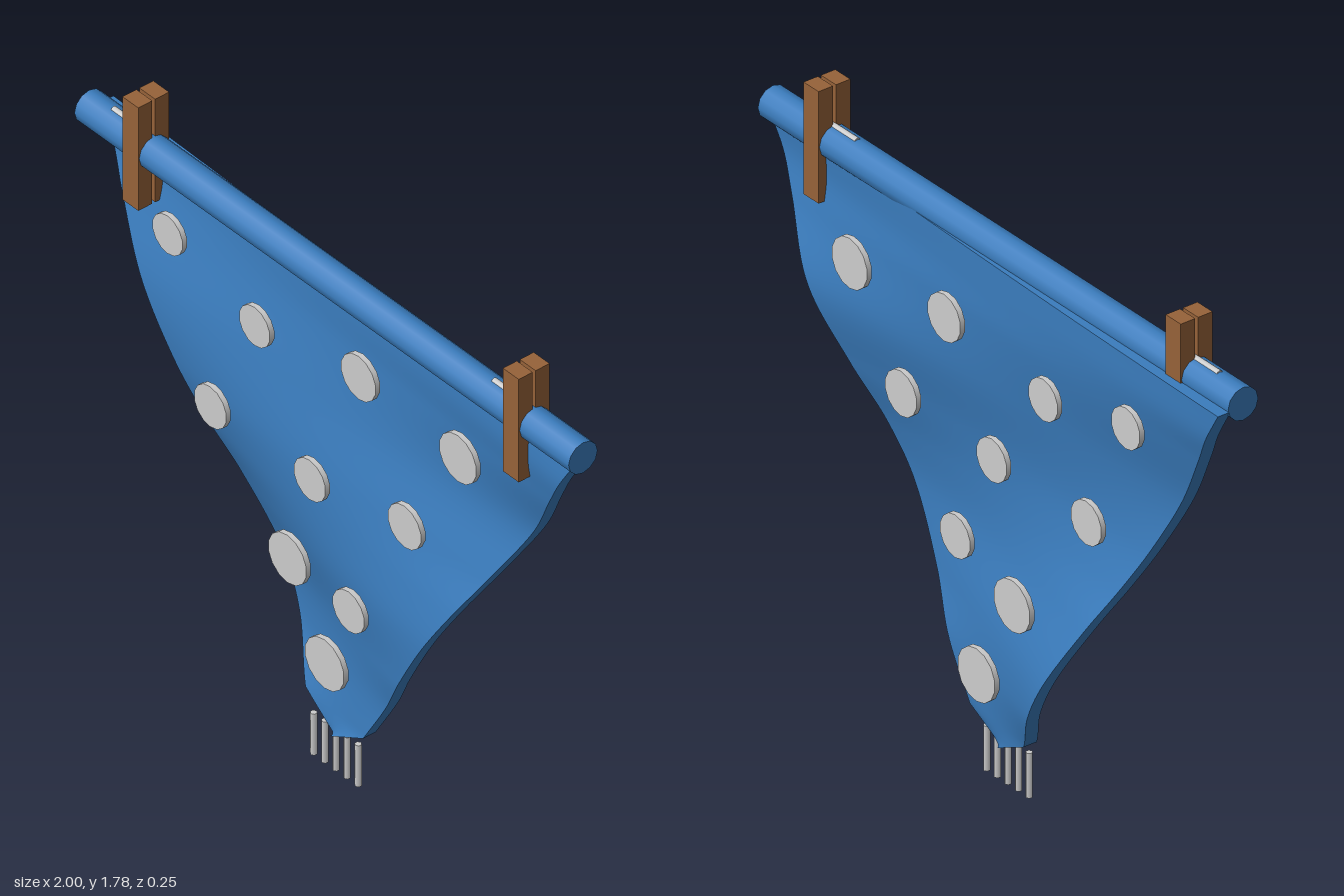
import * as THREE from 'three';

const mat = (name, color, side = THREE.FrontSide) => {
  const m = new THREE.MeshStandardMaterial({ color, side });
  m.name = name;
  return m;
};

// smooth sheet from a rule p(u, v) with u, v in 0..1
function sheet(p, nu, nv) {
  const pos = [], idx = [];
  for (let j = 0; j <= nv; j++)
    for (let i = 0; i <= nu; i++) pos.push(...p(i / nu, j / nv));
  for (let j = 0; j < nv; j++)
    for (let i = 0; i < nu; i++) {
      const a = j * (nu + 1) + i, b = a + 1, c = a + nu + 1, d = c + 1;
      idx.push(a, b, d, a, d, c);
    }
  const g = new THREE.BufferGeometry();
  g.setAttribute('position', new THREE.Float32BufferAttribute(pos, 3));
  g.setIndex(idx);
  g.computeVertexNormals();
  return g;
}

// cloth depth at heights: [y, left edge (-x), middle, right edge (+x)]
const WAVE = [
  [0.12, -0.015, -0.01, 0], [0.2, -0.035, -0.02, 0], [0.35, -0.095, -0.033, 0.005],
  [0.5, -0.112, -0.025, 0.04], [0.7, -0.075, 0.015, 0.062], [0.85, -0.03, 0.025, 0.04],
  [1.0, 0, 0.018, -0.01], [1.2, 0.008, -0.015, -0.056], [1.4, -0.03, -0.037, -0.012],
  [1.5, -0.055, -0.038, 0.008], [1.6, -0.062, -0.038, 0.005],
];

function clothZ(u, y) {
  let i = 0;
  while (i < WAVE.length - 2 && y > WAVE[i + 1][0]) i++;
  const a = WAVE[i], b = WAVE[i + 1];
  const h = b[0] - a[0], t = (y - a[0]) / h;
  const slope = (k, c) => {
    const lo = WAVE[Math.max(k - 1, 0)], hi = WAVE[Math.min(k + 1, WAVE.length - 1)];
    return (hi[c] - lo[c]) / (hi[0] - lo[0]);
  };
  const at = c => {
    const t2 = t * t, t3 = t2 * t;
    return (2 * t3 - 3 * t2 + 1) * a[c] + (t3 - 2 * t2 + t) * h * slope(i, c)
      + (3 * t2 - 2 * t3) * b[c] + (t3 - t2) * h * slope(i + 1, c);
  };
  const l = at(1), m = at(2), r = at(3);
  return m + (r - l) / 2 * u + ((l + r) / 2 - m) * u * u;
}

const halfWidth = y => y < 0.19 ? 0.135 * (y - 0.12) / 0.07 : 0.135 + (y - 0.19) * 0.613;
// rows, with one exactly at the corner above the tip
const rowY = v => v < 0.05 ? 0.12 + 0.07 * v / 0.05 : 0.19 + 1.41 * (v - 0.05) / 0.95;

export function createModel() {
  const root = new THREE.Group();
  const blue = mat('blue cloth', 0x3a7cbd, THREE.DoubleSide);
  const brown = mat('brown wood', 0x966239);
  const grey = mat('light grey', 0xcccccc);
  const add = (name, geo, material, x = 0, y = 0, z = 0, parent = root) => {
    const m = new THREE.Mesh(geo, material);
    m.name = name;
    m.position.set(x, y, z);
    parent.add(m);
    return m;
  };

  // wavy pennant: front, back and rim
  const cloth = new THREE.Group();
  cloth.name = 'cloth';
  root.add(cloth);
  const T = 0.022;
  const point = (u, y, off) => [u * halfWidth(y), y, clothZ(u, y) + off];
  add('clothFront', sheet((u, v) => point(2 * u - 1, rowY(v), T), 40, 80), blue, 0, 0, 0, cloth);
  add('clothBack', sheet((u, v) => point(1 - 2 * u, rowY(v), -T), 40, 80), blue, 0, 0, 0, cloth);
  for (const s of [-1, 1])
    add('clothSide', sheet((u, v) => point(s, rowY(v), s * T * (1 - 2 * u)), 1, 80), blue, 0, 0, 0, cloth);
  add('clothTop', sheet((u, v) => point(2 * u - 1, 1.6, T * (1 - 2 * v)), 40, 1), blue, 0, 0, 0, cloth);

  // hanging rod
  add('rod', new THREE.CylinderGeometry(0.05, 0.05, 2, 12), blue, 0, 1.61, 0).rotation.z = Math.PI / 2;

  // pegs: two wooden halves and a spring pin
  for (const x of [-0.77, 0.77]) {
    const peg = new THREE.Group();
    peg.name = 'peg';
    peg.position.set(x, 1.61, 0);
    root.add(peg);
    for (const s of [-1, 1])
      add('pegHalf', new THREE.BoxGeometry(0.064, 0.34, 0.048), brown, 0, 0, s * 0.029, peg);
    add('springPin', new THREE.CylinderGeometry(0.01, 0.01, 0.15, 8), grey, -0.055, 0.045, 0, peg)
      .rotation.z = Math.PI / 2;
  }

  // dots on both faces: x, y, radius
  const dots = [
    [-0.64, 1.41, 0.062], [-0.275, 1.325, 0.063], [0.135, 1.39, 0.071], [0.545, 1.365, 0.076],
    [-0.41, 1.0, 0.066], [0, 1.0, 0.065], [0.36, 1.045, 0.068],
    [-0.14, 0.637, 0.078], [0.18, 0.68, 0.065], [0, 0.367, 0.08],
  ];
  for (const [x, y, r] of dots)
    for (const s of [-1, 1])
      add('dot', new THREE.CylinderGeometry(r, r, 0.016, 14), grey,
        x, y, clothZ(x / halfWidth(y), y) + s * 0.065).rotation.x = Math.PI / 2;

  // fringe below the tip
  for (let i = -2; i <= 2; i++)
    add('fringe', new THREE.CylinderGeometry(0.01, 0.01, 0.136, 6), grey, i * 0.045, 0.068, 0);

  return root;
}
